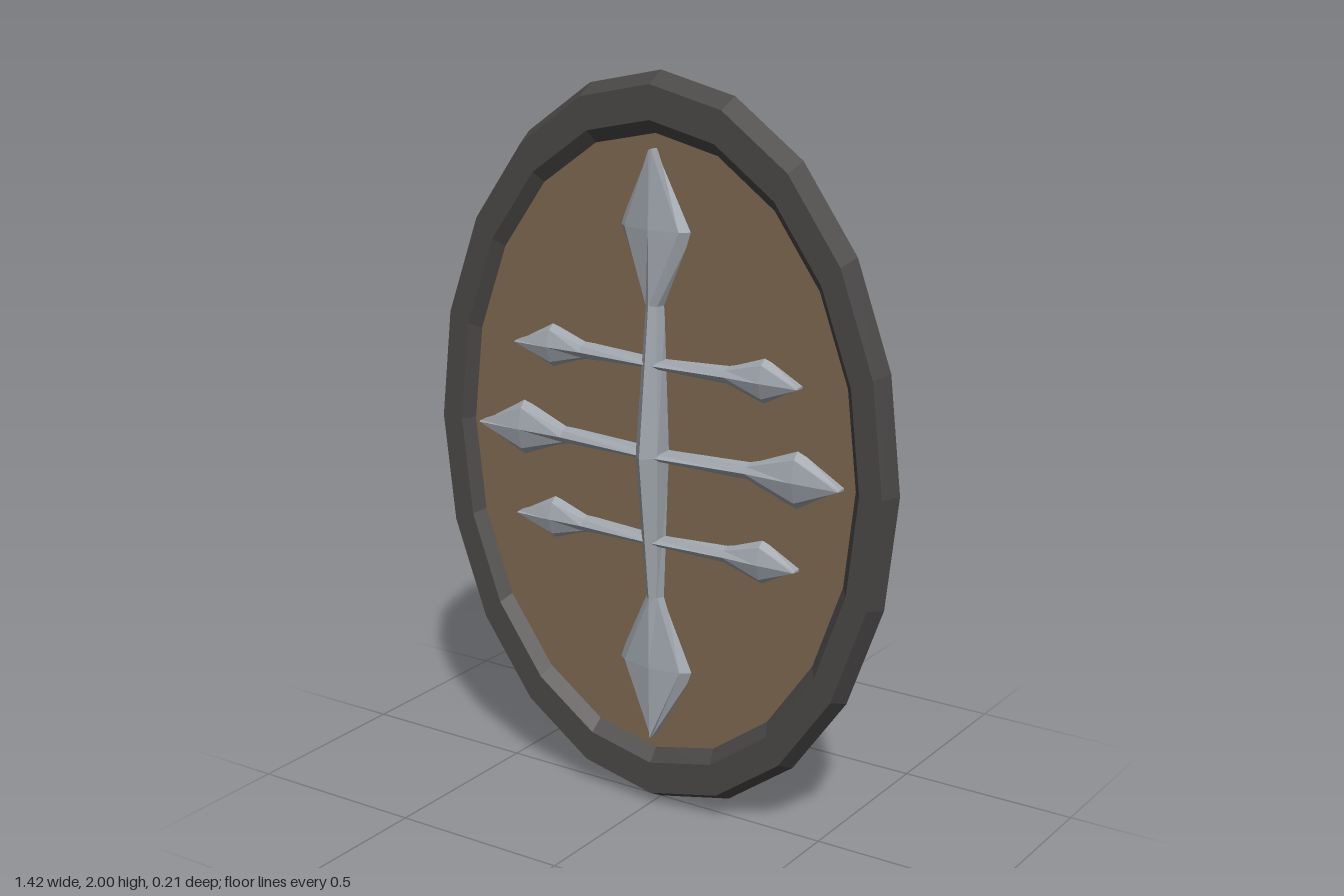
import * as THREE from 'three';

const flat = (name, color) => {
  const m = new THREE.MeshStandardMaterial({ color, flatShading: true });
  m.name = name;
  return m;
};

// Closed solid through rings of points; each ring runs left to right across the front, then back.
function loft(rings) {
  const n = rings[0].length, index = [];
  const last = (rings.length - 1) * n;
  for (let r = 0; r < rings.length - 1; r++) {
    for (let i = 0; i < n; i++) {
      const a = r * n + i, b = r * n + (i + 1) % n;
      index.push(a, b, b + n, a, b + n, a + n);
    }
  }
  for (let i = 1; i < n - 1; i++) {
    index.push(0, i + 1, i, last, last + i, last + i + 1);
  }
  const g = new THREE.BufferGeometry();
  g.setAttribute('position', new THREE.Float32BufferAttribute(rings.flat(2), 3));
  g.setIndex(index);
  const out = g.toNonIndexed();
  out.computeVertexNormals();
  return out;
}

const BOARD_Z = 0.025;

// Ridged bar along +y; rows are [distance, half width, shoulder half width, shoulder z, ridge z]
const ridgedBar = rows => loft(rows.map(([s, w, iw, e, r]) => [
  [-w, s, BOARD_Z - 0.005], [-iw, s, e], [0, s, r], [iw, s, e], [w, s, BOARD_Z - 0.005],
]));

export function createModel() {
  const wood = flat('brown wood', 0x7d6650);
  const iron = flat('dark iron', 0x4a4847);
  const steel = flat('pale steel', 0x9fa5ac);
  const model = new THREE.Group();
  model.name = 'ovalShield';

  const add = (name, geometry, material, parent = model) => {
    const mesh = new THREE.Mesh(geometry, material);
    mesh.name = name;
    parent.add(mesh);
    return mesh;
  };

  // Twenty-sided oval board, whose back reaches the outer edge
  const board = new THREE.CylinderGeometry(0.845, 1, BOARD_Z, 20);
  board.translate(0, BOARD_Z / 2, 0).rotateX(Math.PI / 2).scale(0.71, 1, 1).translate(0, 1, 0);
  add('board', board, wood);

  // Bevelled rim
  const profile = [[1, 0], [0.97, 0.055], [0.88, 0.055], [0.84, BOARD_Z - 0.003]]
    .map(p => new THREE.Vector2(...p));
  const rim = new THREE.LatheGeometry(profile, 20);
  rim.rotateX(Math.PI / 2).scale(0.71, 1, 1).translate(0, 1, 0);
  add('rim', rim, iron);

  // Emblem: central spine with leaf-shaped ends and three pairs of side arms
  const emblem = new THREE.Group();
  emblem.name = 'emblem';
  emblem.position.y = 1;
  model.add(emblem);

  add('spine', ridgedBar([
    [-0.41, 0.027, 0.016, 0.046, 0.06],
    [0, 0.042, 0.034, 0.07, 0.105],
    [0.41, 0.027, 0.016, 0.046, 0.06],
  ]), steel, emblem);

  const leaf = w => ridgedBar([
    [0.4, 0.027, 0.018, 0.046, 0.06],
    [0.6, w, w * 0.74, 0.046, 0.062],
    [0.805, 0.005, 0.002, 0.05, 0.06],
  ]);
  add('topLeaf', leaf(0.112), steel, emblem);
  add('bottomLeaf', leaf(0.12), steel, emblem).rotation.z = Math.PI;

  const arm = (neck, wide, tip, w, rootZ) => ridgedBar([
    [0, 0.014, 0.009, rootZ - 0.012, rootZ],
    [neck, 0.026, 0.016, 0.044, 0.055],
    [wide, w, w * 0.7, 0.043, 0.058],
    [tip, 0.004, 0.002, 0.046, 0.055],
  ]);
  const middleArm = arm(0.29, 0.43, 0.565, 0.082, 0.078);
  const outerArm = arm(0.225, 0.33, 0.44, 0.063, 0.066);
  for (const [side, angle] of [['left', -Math.PI / 2], ['right', Math.PI / 2]]) {
    for (const [level, y] of [['Upper', 0.245], ['Middle', 0], ['Lower', -0.24]]) {
      const mesh = add(`${side}${level}Arm`, y ? outerArm : middleArm, steel, emblem);
      mesh.rotation.z = angle;
      mesh.position.y = y;
    }
  }

  // Bent strap handle; rows are [y, front z, back z, half width]
  const strap = [
    [0.48, 0, -0.016, 0.002], [0.55, 0, -0.016, 0.062], [0.69, 0, -0.016, 0.062],
    [0.87, -0.092, -0.108, 0.062], [1.13, -0.092, -0.108, 0.062],
    [1.3, 0, -0.016, 0.062], [1.46, 0, -0.016, 0.062], [1.53, 0, -0.016, 0.002],
  ];
  add('handle', loft(strap.map(([y, f, b, w]) => [
    [-w, y, f], [w, y, f], [w, y, b], [-w, y, b],
  ])), iron);

  return model;
}
